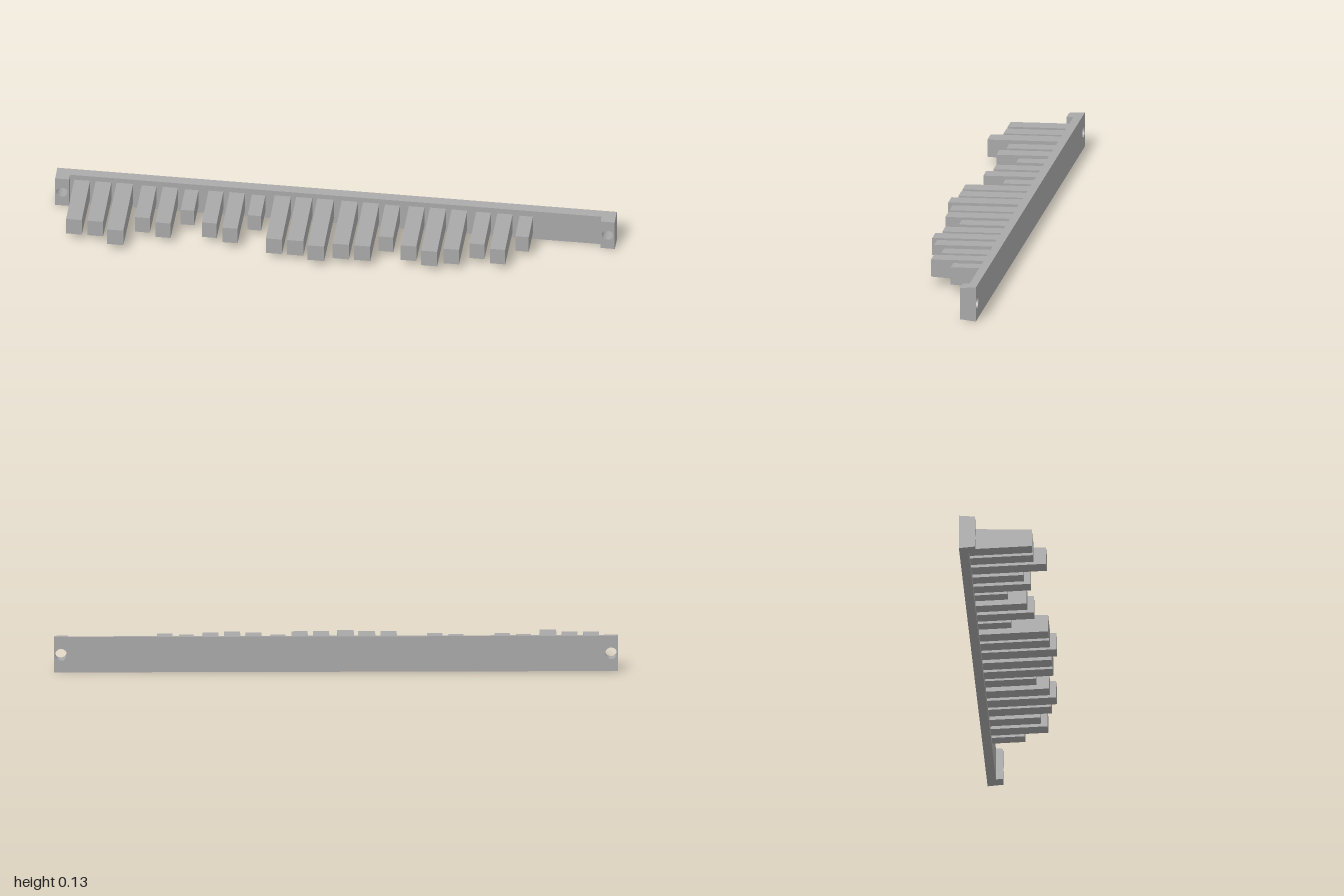
import * as THREE from 'three';

const MID_Y = 0.0635;
const BACK_Z = -0.149, PLATE_Z = -0.117, PAD_Z = -0.092;
const HOLE_X = 0.975, HOLE_R = 0.021;

// Shrinks heights linearly towards +z, keeping the given half height at z = refZ
function taper(geometry, half, refZ, slope) {
  const p = geometry.attributes.position;
  for (let i = 0; i < p.count; i++) {
    const k = (half - slope * (p.getZ(i) - refZ)) / half;
    p.setY(i, p.getY(i) * k);
  }
  geometry.computeVertexNormals();
  return geometry;
}

// Upright slab with round screw holes
function slab(x0, x1, z0, z1, holes) {
  const h = 0.0635;
  const shape = new THREE.Shape();
  shape.moveTo(x0, -h);
  shape.lineTo(x1, -h);
  shape.lineTo(x1, h);
  shape.lineTo(x0, h);
  shape.closePath();
  for (const x of holes) {
    shape.holes.push(new THREE.Path().absarc(x, 0, HOLE_R, 0, Math.PI * 2, true));
  }
  const g = new THREE.ExtrudeGeometry(shape, { depth: z1 - z0, bevelEnabled: false, curveSegments: 24 });
  g.translate(0, 0, z0);
  return taper(g, h, BACK_Z, 0.086);
}

export function createModel() {
  const grey = new THREE.MeshStandardMaterial({ color: 0xa8a8a8 });
  grey.name = 'grey';
  const model = new THREE.Group();
  model.name = 'toothedBar';

  function add(name, geometry, parent = model) {
    const mesh = new THREE.Mesh(geometry, grey);
    mesh.name = name;
    parent.add(mesh);
    return mesh;
  }

  // Back plate and the raised pads around its end holes
  add('backPlate', slab(-1, 1, BACK_Z, PLATE_Z, [-HOLE_X, HOLE_X])).position.y = MID_Y;
  add('rightEndPad', slab(-1, -0.95, PLATE_Z, PAD_Z, [-HOLE_X])).position.y = MID_Y;
  add('leftEndPad', slab(0.95, 1, PLATE_Z, PAD_Z, [HOLE_X])).position.y = MID_Y;

  // Teeth in groups of three; each number is a length step
  const teeth = new THREE.Group();
  teeth.name = 'teeth';
  model.add(teeth);
  const steps = [
    [5, 5, 7], [3, 4, 0], [3, 4, 0], [6, 6, 7], [6, 6, 3], [5, 6, 5], [3, 4, 0],
  ];
  steps.forEach((group, gi) => group.forEach((step, i) => {
    const tip = 0.0213 * step;
    const width = 0.048 + 0.075 * tip;
    const length = tip - PLATE_Z;
    const g = new THREE.BoxGeometry(width, 0.064, length);
    g.translate(0, 0, tip - length / 2);
    // All tips share one height and thicken towards the plate
    taper(g, 0.032, tip, 0.034);
    add('tooth', g, teeth).position.set(-0.907 + gi * 0.2392 + i * 0.0763, MID_Y + 0.001, 0);
  }));

  return model;
}
